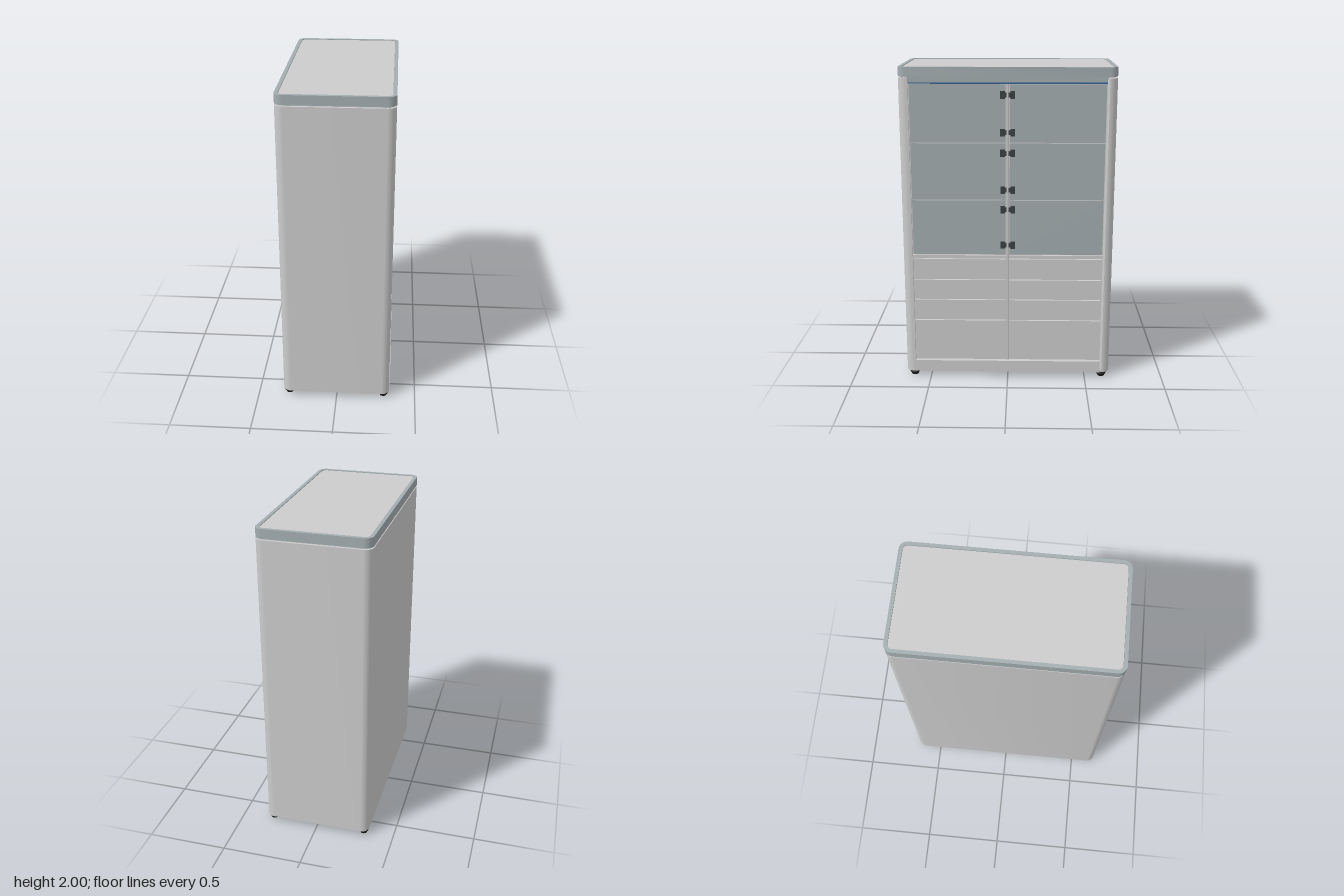
import * as THREE from 'three';
import { toCreasedNormals } from 'three/addons/utils/BufferGeometryUtils.js';

const GREY = 0xcccccc, TINT = 0xa3adb0, DARK = 0x3a4042, BLACK = 0x1c1c1c, BLUE = 0x2f5f96;
const BACK = -0.342, FRONT = 0.335, HALF = 0.66, R = 0.05;

export function createModel() {
  const group = new THREE.Group();
  const materials = {};
  const add = (name, geometry, color = GREY) => {
    materials[color] ??= new THREE.MeshStandardMaterial({ color });
    const mesh = new THREE.Mesh(geometry, materials[color]);
    mesh.name = name;
    group.add(mesh);
    return mesh;
  };
  const box = (name, [x0, x1], [y0, y1], [z0, z1], color) => {
    const mesh = add(name, new THREE.BoxGeometry(x1 - x0, y1 - y0, z1 - z0), color);
    mesh.position.set((x0 + x1) / 2, (y0 + y1) / 2, (z0 + z1) / 2);
    return mesh;
  };
  // Plan outline raised from y0 to y1
  const raise = (name, shape, y0, y1, color) => {
    const g = new THREE.ExtrudeGeometry(shape, { depth: y1 - y0, bevelEnabled: false, curveSegments: 10 });
    g.rotateX(-Math.PI / 2).translate(0, y0, 0);
    return add(name, toCreasedNormals(g, 0.6), color);
  };
  // The four rounded corners of the plan, inset by t
  const corners = (path, t, reverse = false) => {
    const q = Math.PI / 2, z = HALF - R;
    const list = [[FRONT - R, z, 0], [BACK + R, z, q], [BACK + R, -z, 2 * q], [FRONT - R, -z, 3 * q]];
    if (reverse) list.reverse();
    for (const [x, y, a] of list) {
      if (reverse) path.absarc(x, y, R - t, a + q, a, true);
      else path.absarc(x, y, R - t, a, a + q, false);
    }
    return path;
  };

  // Wrap-around shell, open at the door side
  const wall = 0.015;
  const shell = new THREE.Shape();
  shell.moveTo(FRONT, 0.598);
  corners(shell, 0);
  shell.lineTo(FRONT, -0.598);
  shell.lineTo(FRONT - wall, -0.598);
  corners(shell, wall, true);
  shell.lineTo(FRONT - wall, 0.598);
  shell.closePath();
  raise('shell', shell, 0.035, 1.935);
  box('carcass', [BACK + 0.02, 0.312], [0.075, 1.945], [-0.628, 0.628]);

  // Lid rim, inset top panel and the lip above the doors
  const rim = corners(new THREE.Shape(), 0);
  rim.closePath();
  const hole = corners(new THREE.Path(), 0.022);
  hole.closePath();
  rim.holes.push(hole);
  raise('lidRim', rim, 1.943, 2, TINT);
  const panel = corners(new THREE.Shape(), 0.023);
  panel.closePath();
  raise('topPanel', panel, 1.94, 1.996);

  const lip = new THREE.Shape();
  lip.moveTo(-0.61, 1.945);
  lip.quadraticCurveTo(-0.595, 1.942, -0.595, 1.91);
  lip.lineTo(0.595, 1.91);
  lip.quadraticCurveTo(0.595, 1.942, 0.61, 1.945);
  lip.closePath();
  const lipGeometry = new THREE.ExtrudeGeometry(lip, { depth: 0.03, bevelEnabled: false });
  lipGeometry.rotateY(Math.PI / 2).translate(FRONT - 0.03, 0, 0);
  add('lidLip', lipGeometry, TINT);
  box('sealStrip', [0.3, 0.331], [1.901, 1.91], [-0.595, 0.595], BLUE);

  // Plinth, cross rail and centre post
  box('plinth', [0.3, 0.339], [0.035, 0.111], [-0.598, 0.598]);
  box('crossRail', [0.3, 0.326], [0.807, 0.827], [-0.598, 0.598]);
  box('centrePost', [0.3, 0.33], [0.115, 1.901], [-0.007, 0.007]);

  // Doors, drawers and hinges, mirrored about the centre post
  const doorEdges = [0.83, 1.185, 1.543, 1.901];
  const drawerEdges = [0.115, 0.39, 0.53, 0.665, 0.805];
  const gap = 0.003;
  for (const side of [-1, 1]) {
    const span = (a, b) => (side > 0 ? [a, b] : [-b, -a]);
    const front = (name, edges, x, color) => {
      for (let i = 0; i < edges.length - 1; i++)
        box(name, [0.305, x], [edges[i] + gap, edges[i + 1] - gap], span(0.013, 0.593), color);
    };
    front('door', doorEdges, 0.322, TINT);
    front('drawerFront', drawerEdges, 0.326, GREY);
    for (const y of [0.895, 1.125, 1.25, 1.48, 1.607, 1.835]) {
      box('hingePlate', [0.315, 0.327], [y - 0.023, y + 0.023], span(0.017, 0.045), DARK);
      box('hingeKnuckle', [0.315, 0.332], [y - 0.014, y + 0.014], span(0.007, 0.022), DARK);
    }
  }

  // Levelling feet
  const profile = [[0, 0], [0.022, 0], [0.024, 0.008], [0.031, 0.016], [0.031, 0.021], [0.012, 0.03], [0.012, 0.076]]
    .map(([x, y]) => new THREE.Vector2(x, y));
  const footGeometry = toCreasedNormals(new THREE.LatheGeometry(profile, 20), 0.5);
  for (const x of [-0.305, 0.298])
    for (const z of [-0.61, 0.61]) add('foot', footGeometry, BLACK).position.set(x, 0, z);

  return group;
}
